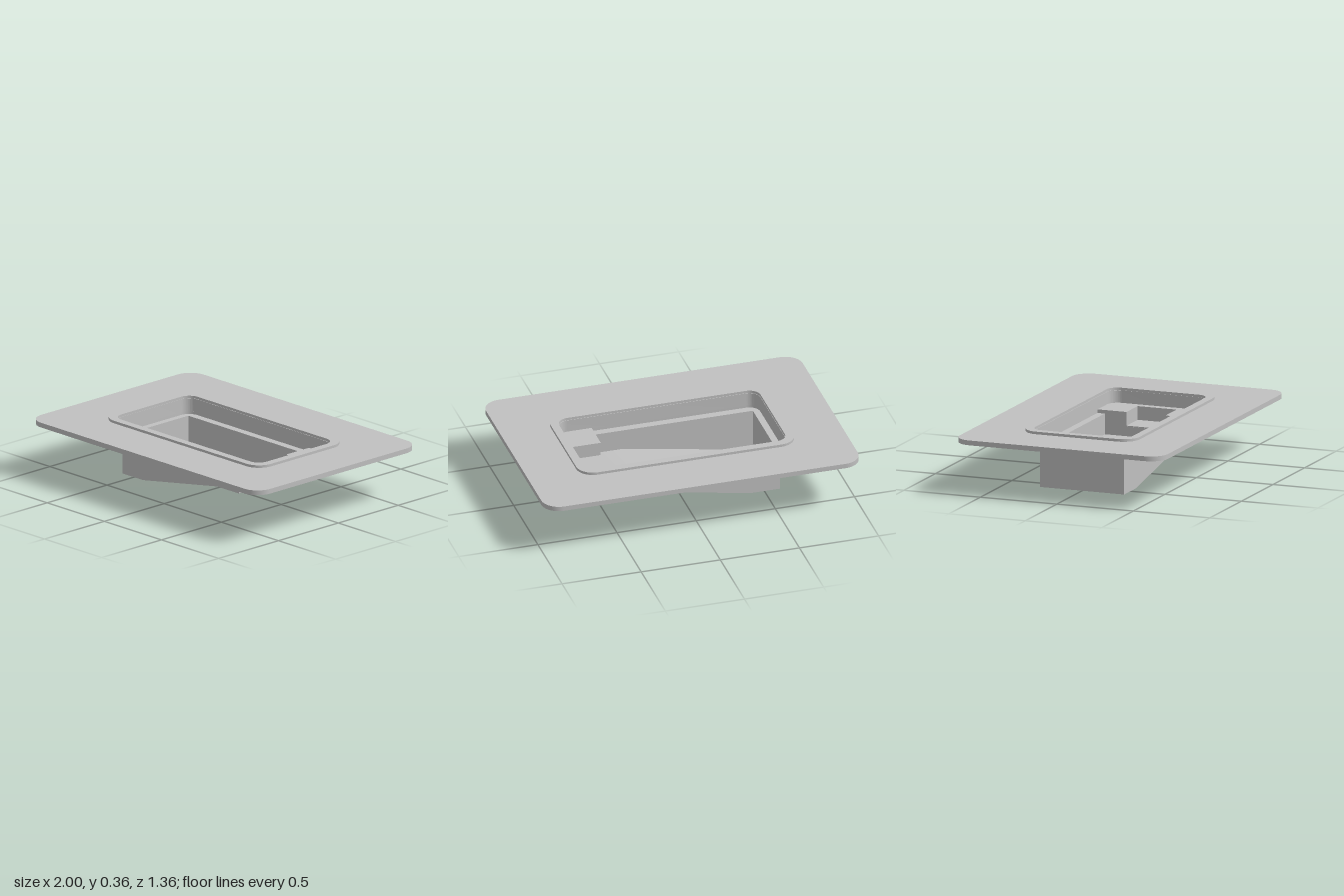
import * as THREE from 'three';
import { toCreasedNormals } from 'three/addons/utils/BufferGeometryUtils.js';

const T = 0.006; // sheet thickness of the tray

// Rectangle with rounded corners, centred on the origin
function roundedRect(hx, hz, r, target = new THREE.Shape()) {
  target.moveTo(hx, -hz + r);
  target.absarc(hx - r, hz - r, r, 0, Math.PI / 2);
  target.absarc(-hx + r, hz - r, r, Math.PI / 2, Math.PI);
  target.absarc(-hx + r, -hz + r, r, Math.PI, Math.PI * 1.5);
  target.absarc(hx - r, -hz + r, r, Math.PI * 1.5, Math.PI * 2);
  return target;
}

function ring(hx, hz, r, holeX, holeZ, holeR) {
  const shape = roundedRect(hx, hz, r);
  shape.holes.push(roundedRect(holeX, holeZ, holeR, new THREE.Path()));
  return shape;
}

// U outline, open at x = open; corners at the closed end may be rounded
function uShape(open, closed, w, r, innerClosed, innerW, innerR) {
  const s = new THREE.Shape();
  const d = Math.sign(closed - open);
  const corner = (ax, ay, cx, cy, bx, by) => {
    const k = 0.552;
    s.lineTo(ax, ay);
    s.bezierCurveTo(ax + (cx - ax) * k, ay + (cy - ay) * k,
      bx + (cx - bx) * k, by + (cy - by) * k, bx, by);
  };
  const turn = (x, z, rad, side) => {
    const a = [x - d * rad, side * z], b = [x, side * (z - rad)];
    return { a, b, c: [x, side * z] };
  };
  const leg = (x, z, rad, side) => {
    if (!rad) { s.lineTo(x, side * z); return; }
    const t = turn(x, z, rad, side);
    // the first corner runs into the closed end, the second out of it
    if (leg.in) corner(...t.a, ...t.c, ...t.b);
    else corner(...t.b, ...t.c, ...t.a);
  };
  s.moveTo(open, -w);
  leg.in = true; leg(closed, w, r, -1);
  leg.in = false; leg(closed, w, r, 1);
  s.lineTo(open, w);
  s.lineTo(open, innerW);
  leg.in = true; leg(innerClosed, innerW, innerR, 1);
  leg.in = false; leg(innerClosed, innerW, innerR, -1);
  s.lineTo(open, -innerW);
  return s;
}

const polygon = (pts) => new THREE.Shape(pts.map(([x, y]) => new THREE.Vector2(x, y)));

function extrude(shape, depth) {
  return new THREE.ExtrudeGeometry(shape, { depth, bevelEnabled: false, curveSegments: 10 });
}

export function createModel() {
  const group = new THREE.Group();
  group.name = 'recessedTray';
  const grey = new THREE.MeshStandardMaterial({ color: 0xc0c0c0 });
  grey.name = 'light grey';

  const add = (name, geometry) => {
    const mesh = new THREE.Mesh(toCreasedNormals(geometry, 0.5), grey);
    mesh.name = name;
    group.add(mesh);
  };
  // Horizontal slab between two heights
  const slab = (name, shape, y0, y1) =>
    add(name, extrude(shape, y1 - y0).rotateX(-Math.PI / 2).translate(0, y0, 0));
  // Side-view outline swept across the width
  const across = (name, pts, z0, z1) =>
    add(name, extrude(polygon(pts), z1 - z0).translate(0, 0, z0));

  // Mounting plate and raised rim around the opening
  slab('plate', ring(1, 0.68, 0.11, 0.637, 0.321, 0.07), 0.315, 0.345);
  slab('rim', ring(0.686, 0.368, 0.105, 0.636, 0.32, 0.07), 0.345, 0.361);

  // Upper basin: full wall, with a deeper wall around the long section
  slab('basinWall', ring(0.64, 0.323, 0.075, 0.634, 0.317, 0.069), 0.262, 0.345);
  slab('lowerBasinWall', uShape(0.417, -0.64, 0.323, 0.075, -0.634, 0.317, 0.069), 0.24, 0.262);

  // Ledges around the well and the pocket
  slab('wellLedge', uShape(0.417, -0.638, 0.321, 0.073, -0.593, 0.269, 0), 0.24, 0.24 + T);
  slab('pocketLedge', uShape(0.411, 0.638, 0.321, 0.073, 0.587, 0.127, 0), 0.262, 0.262 + T);

  // Deep well: floor band with sloping ramp, and two cheeks
  const wellLine = [[-0.599, 0.24], [-0.599, 0], [-0.42, 0], [0.227, 0.112], [0.417, 0.112]];
  const wellInner = [[0.417, 0.112 + T], [0.227, 0.112 + T], [-0.42, T], [-0.593, T], [-0.593, 0.24]];
  across('wellFloor', [...wellLine, ...wellInner], -0.27, 0.27);
  for (const z of [-0.275, 0.275 - T]) {
    across('wellCheek', [...wellLine, [0.417, 0.24]], z, z + T);
  }

  // End wall of the well, notched where the pocket opens into it
  const half = [[0.133, 0.177], [0.133, 0.262], [0.321, 0.262], [0.321, 0.24], [0.275, 0.24], [0.275, 0.112]];
  const mirrored = half.map(([z, y]) => [-z, y]).reverse();
  add('wellEndWall', extrude(polygon([...half, ...mirrored]), T)
    .rotateY(Math.PI / 2).translate(0.411, 0, 0));

  // Small side pocket
  const pocketLine = [[0.412, 0.177], [0.593, 0.177], [0.593, 0.264]];
  across('pocketFloor',
    [...pocketLine, [0.587, 0.264], [0.587, 0.177 + T], [0.412, 0.177 + T]], -0.13, 0.13);
  for (const z of [-0.133, 0.133 - T]) {
    across('pocketCheek', [...pocketLine, [0.412, 0.264]], z, z + T);
  }
  return group;
}
